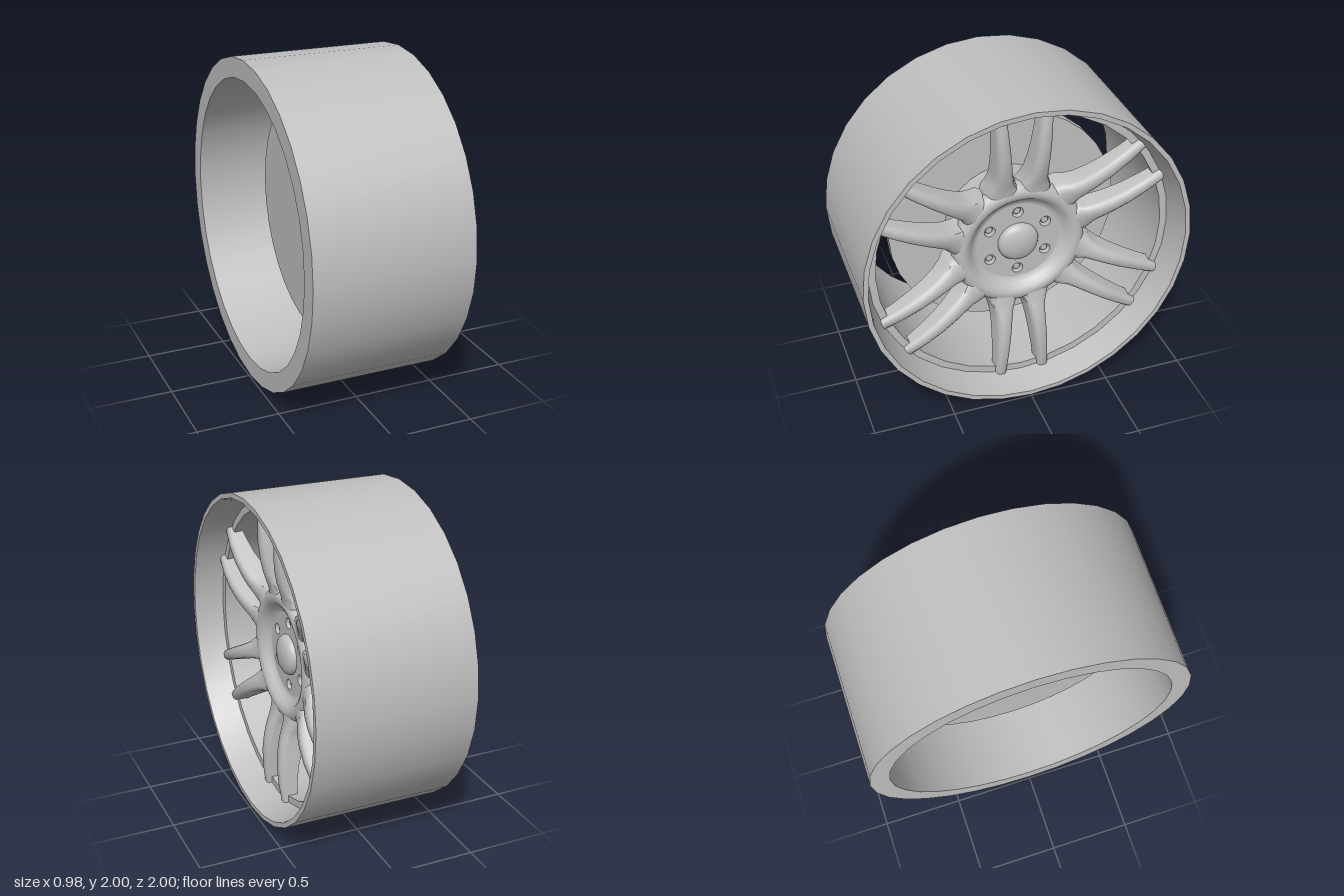
import * as THREE from 'three';
import { toCreasedNormals } from 'three/addons/utils/BufferGeometryUtils.js';

const metal = new THREE.MeshStandardMaterial({ color: 0xbfbfbf });
metal.name = 'satin grey metal';

function part(name, geometry, crease = 0.6) {
  const mesh = new THREE.Mesh(toCreasedNormals(geometry, crease), metal);
  mesh.name = name;
  return mesh;
}

// Revolve [radius, axial] points around the x axis
function turned(name, profile, segments, crease) {
  const g = new THREE.LatheGeometry(profile.map(([r, x]) => new THREE.Vector2(r, x)), segments);
  g.rotateZ(-Math.PI / 2);
  return part(name, g, crease);
}

// Rows along a spoke: radius, sideways offset, half width, front x, depth
const SPOKE_ROWS = [
  [0.34, 0.095, 0.10, 0.285, 0.14],
  [0.40, 0.10, 0.085, 0.295, 0.15],
  [0.44, 0.102, 0.064, 0.310, 0.15],
  [0.50, 0.106, 0.053, 0.330, 0.14],
  [0.58, 0.112, 0.047, 0.346, 0.13],
  [0.68, 0.120, 0.043, 0.355, 0.115],
  [0.80, 0.129, 0.038, 0.352, 0.10],
  [0.93, 0.138, 0.033, 0.335, 0.08],
];
// Rounded front, flat back: sideways factor, drop from the front
const SECTION = [[1.2, 1], [1, 0.3], [0.85, 0.12], [0.45, 0], [-0.45, 0], [-0.85, 0.12], [-1, 0.3], [-1.2, 1]];

function spokeGeometry(side) {
  const pos = [], index = [], n = SECTION.length;
  for (const [r, offset, half, front, depth] of SPOKE_ROWS)
    for (const [u, t] of SECTION) pos.push(front - t * depth, r, side * offset + u * half);
  for (let i = 0; i < SPOKE_ROWS.length - 1; i++)
    for (let j = 0; j < n; j++) {
      const a = i * n + j, b = i * n + (j + 1) % n;
      index.push(a, b, b + n, a, b + n, a + n);
    }
  const tip = (SPOKE_ROWS.length - 1) * n;
  for (let j = 1; j < n - 1; j++) index.push(tip, tip + j, tip + j + 1);
  const g = new THREE.BufferGeometry();
  g.setAttribute('position', new THREE.Float32BufferAttribute(pos, 3));
  g.setIndex(index);
  return g;
}

export function createModel() {
  const model = new THREE.Group();
  model.name = 'wheel';
  const wheel = new THREE.Group();
  wheel.name = 'wheelAssembly';
  wheel.position.y = 1;
  model.add(wheel);

  // Rim: plain outside, tapered lip and a seat for the spokes inside
  wheel.add(turned('rim', [
    [0.88, -0.49], [1, -0.49], [1, 0.49], [0.97, 0.49],
    [0.93, 0.31], [0.885, 0.31], [0.88, -0.49],
  ], 32, 0.5));

  // Brake disc and the hub barrel in front of it
  wheel.add(turned('brakeDisc', [[0, -0.10], [0.72, -0.10], [0.72, -0.04], [0, -0.04]], 32));
  wheel.add(turned('hubBarrel', [[0.37, -0.05], [0.37, 0.16]], 32));

  // Hub shoulder with a dished centre
  wheel.add(turned('hubShoulder', [
    [0.36, 0.13], [0.40, 0.16], [0.412, 0.23], [0.40, 0.27], [0.375, 0.288],
    [0.345, 0.29], [0.32, 0.278], [0.295, 0.25], [0.275, 0.23], [0.25, 0.225],
  ], 48, 0.9));

  // Hub face with six bolt holes
  const face = new THREE.Shape();
  face.absarc(0, 0, 0.28, 0, Math.PI * 2);
  const bolts = new THREE.Group();
  bolts.name = 'bolts';
  for (let i = 0; i < 6; i++) {
    const a = Math.PI / 2 + i * Math.PI / 3;
    const u = 0.2 * Math.cos(a), v = 0.2 * Math.sin(a);
    const hole = new THREE.Path();
    hole.absarc(u, v, 0.034, 0, Math.PI * 2, true);
    face.holes.push(hole);
    const bolt = turned('bolt', [[0.034, 0.18], [0.024, 0.205], [0.02, 0.21], [0, 0.21]], 16);
    bolt.position.set(0, v, -u);
    bolts.add(bolt);
  }
  const faceGeometry = new THREE.ExtrudeGeometry(face, { depth: 0.05, bevelEnabled: false, curveSegments: 24 });
  faceGeometry.rotateY(Math.PI / 2).translate(0.177, 0, 0);
  wheel.add(part('hubFace', faceGeometry), bolts);

  // Domed centre cap
  wheel.add(turned('centreCap', [
    [0.125, 0.22], [0.125, 0.24], [0.115, 0.257], [0.09, 0.272], [0.05, 0.282], [0, 0.285],
  ], 32, 0.9));

  // Six pairs of spokes
  for (let i = 0; i < 6; i++) {
    const pair = new THREE.Group();
    pair.name = 'spokePair';
    for (const side of [-1, 1]) pair.add(part('spoke', spokeGeometry(side), 0.75));
    pair.rotation.x = i * Math.PI / 3;
    wheel.add(pair);
  }
  return model;
}
